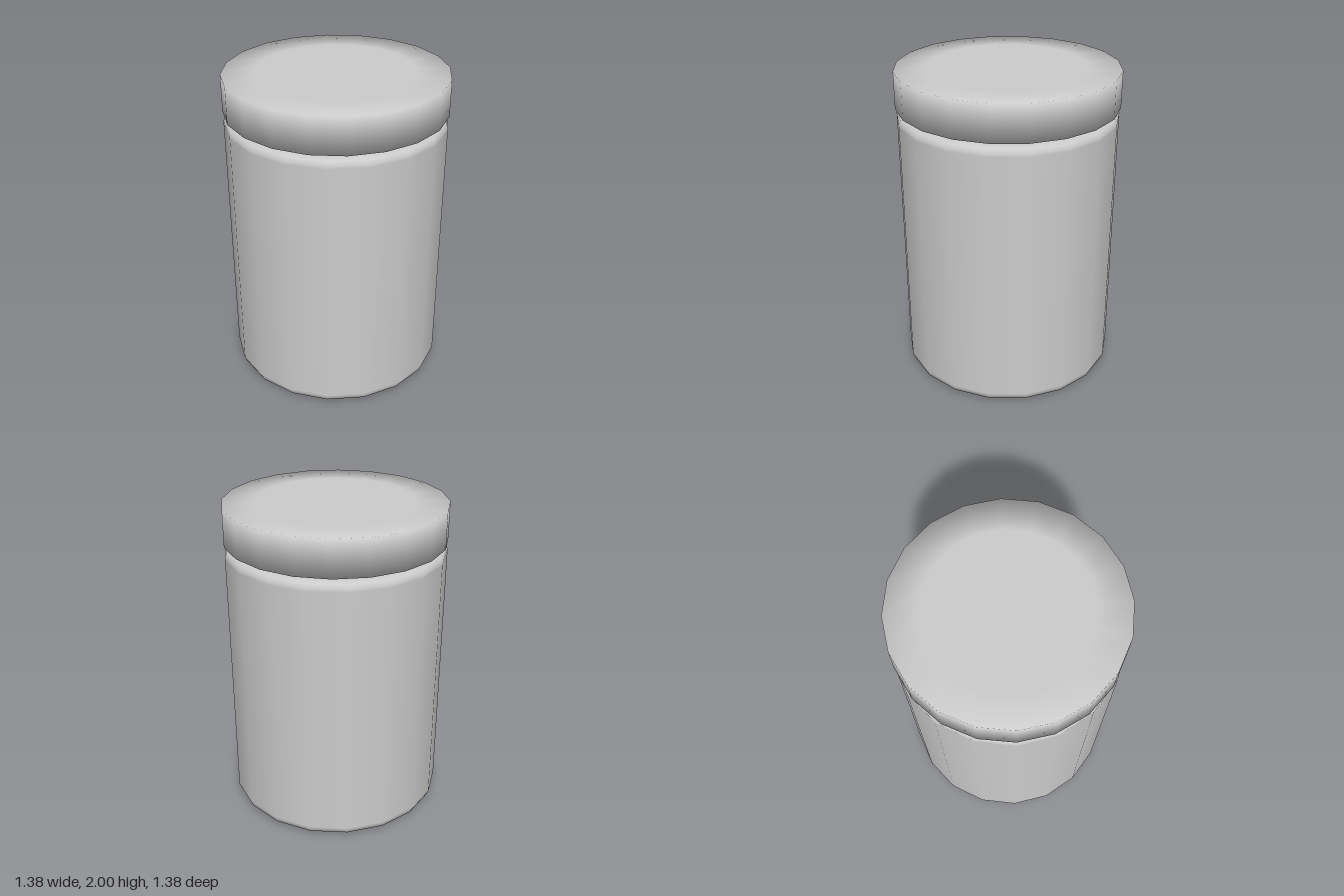
import * as THREE from 'three';

const material = new THREE.MeshStandardMaterial({ color: 0xcccccc });

// Revolves a [radius, height] profile (listed bottom to top) with a corner on the x axis
function turned(name, profile, sides) {
  const points = profile.map(([r, y]) => new THREE.Vector2(r, y));
  const mesh = new THREE.Mesh(new THREE.LatheGeometry(points, sides, Math.PI / 2), material);
  mesh.name = name;
  return mesh;
}

export function createModel() {
  const group = new THREE.Group();
  group.name = 'liddedJar';

  // Jar body: nearly flat base, rounded edges, straight wall, closed shoulder
  group.add(turned('jarBody', [
    [0, 0], [0.12, 0], [0.62, 0.01], [0.65, 0.012], [0.677, 0.024], [0.688, 0.05], [0.688, 0.065],
    [0.688, 1.69], [0.688, 1.705], [0.677, 1.73], [0.65, 1.742], [0.62, 1.743], [0, 1.743],
  ], 18));

  // Short neck in the gap under the lid
  group.add(turned('neck', [[0.49, 1.735], [0.49, 1.78]], 20));

  // Flat lid, softly shaded around the rim
  group.add(turned('lid', [
    [0, 1.77], [0.49, 1.77], [0.69, 1.77], [0.69, 2], [0.49, 2], [0, 2],
  ], 20));

  return group;
}
